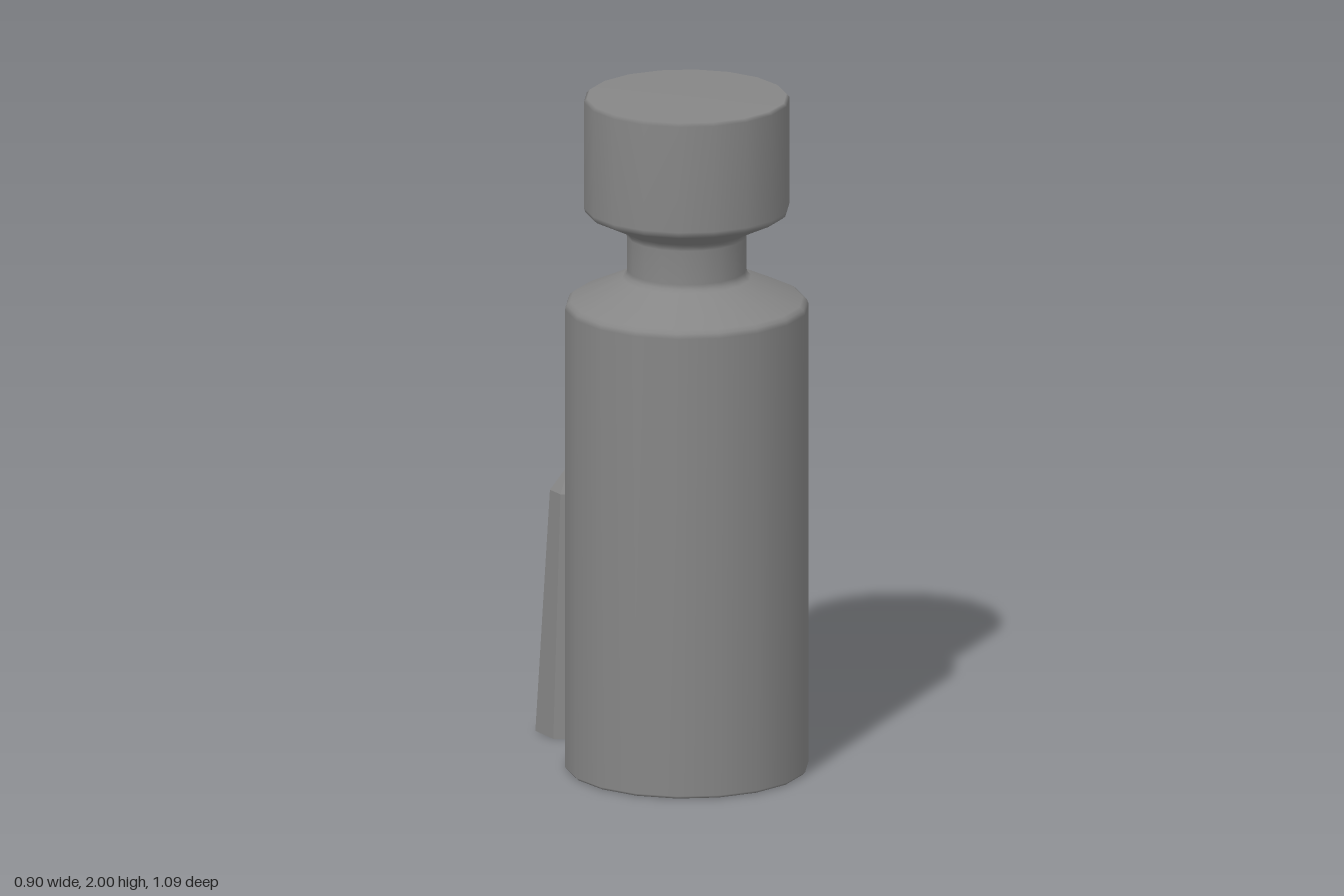
import * as THREE from 'three';

const COLOR = 0x868686;
const toPoints = (pairs) => pairs.map(([r, y]) => new THREE.Vector2(r, y));

// Bottle: smooth 18-sided turned body, bevelled shoulder, narrow neck and wide stopper
function createBottle() {
  const profile = toPoints([
    [0, 0], [0.345, 0], [0.352, 0.008],
    [0.352, 1.372], [0.347, 1.386], [0.336, 1.395],
    [0.186, 1.463], [0.176, 1.472], [0.172, 1.485],
    [0.172, 1.585], [0.176, 1.598], [0.186, 1.608],
    [0.285, 1.655], [0.293, 1.662], [0.297, 1.675],
    [0.297, 1.99], [0.288, 2], [0, 2],
  ]);
  const geometry = new THREE.LatheGeometry(profile, 18, Math.PI / 2);
  const bottle = new THREE.Mesh(geometry, new THREE.MeshStandardMaterial({ color: COLOR }));
  bottle.name = 'bottle';
  bottle.position.set(0.098, 0, 0.197);
  return bottle;
}

// Crystal: tapering hexagonal shaft with a pointed tip, turned about its axis
function createCrystal(name, x, z, size, turn) {
  const profile = toPoints([[0, 0], [0.1325, 0], [0.0775, 0.947], [0, 1.056]]);
  const geometry = new THREE.LatheGeometry(profile, 6, Math.PI / 2 - THREE.MathUtils.degToRad(turn));
  const material = new THREE.MeshStandardMaterial({ color: COLOR, flatShading: true });
  const crystal = new THREE.Mesh(geometry, material);
  crystal.name = name;
  crystal.position.set(x, 0, z);
  crystal.scale.setScalar(size);
  return crystal;
}

export function createModel() {
  const model = new THREE.Group();
  model.name = 'bottleWithCrystals';
  model.add(
    createBottle(),
    createCrystal('largeCrystal', -0.322, -0.416, 1, 15.5),
    createCrystal('smallCrystal', -0.322, -0.087, 0.76, -15.5),
  );
  return model;
}
